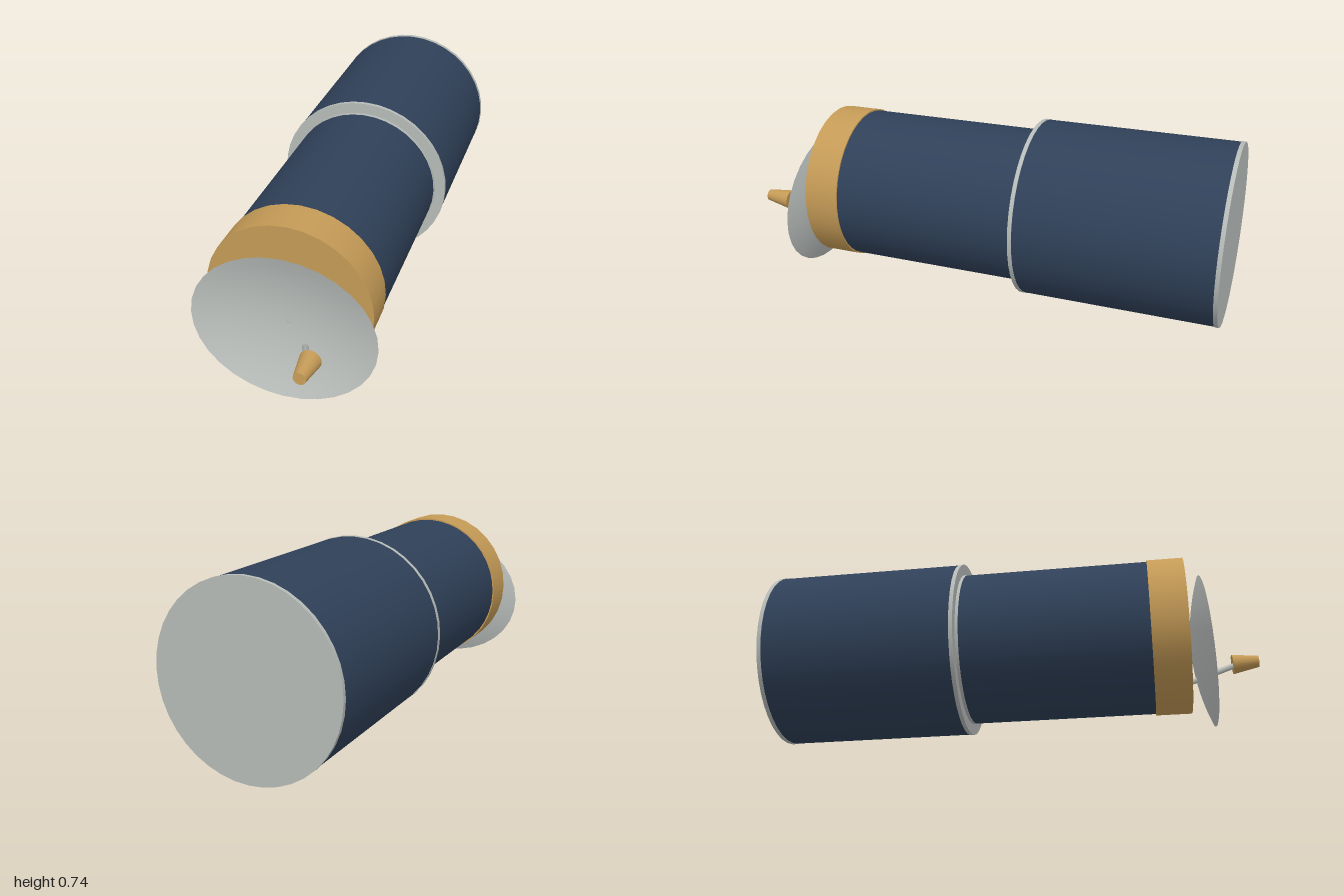
import * as THREE from 'three';

export function createModel() {
  const group = new THREE.Group();
  const navy = new THREE.MeshStandardMaterial({ name: 'navyPanel', color: 0x2f4058 });
  const gold = new THREE.MeshStandardMaterial({ name: 'goldFoil', color: 0xc49a56 });
  const grey = new THREE.MeshStandardMaterial({ name: 'lightGrey', color: 0xb6bbb8 });
  const dishGrey = new THREE.MeshStandardMaterial({ name: 'dishGrey', color: 0xb9bebb, side: THREE.DoubleSide });

  const AXIS_Y = 0.378;
  const TILT = 0.072;

  const add = (name, geometry, material) => {
    const mesh = new THREE.Mesh(geometry, material);
    mesh.name = name;
    group.add(mesh);
    return mesh;
  };

  // Drum lying along z between two depths
  const drum = (name, radius, zBack, zFront, material, sides = 40) => {
    const geometry = new THREE.CylinderGeometry(radius, radius, zFront - zBack, sides);
    geometry.rotateX(Math.PI / 2);
    add(name, geometry, material).position.set(0, AXIS_Y, (zBack + zFront) / 2);
  };

  // Thin rod between two points
  const rod = (name, from, to, radius, sides = 8) => {
    const a = new THREE.Vector3(...from);
    const b = new THREE.Vector3(...to);
    const mesh = add(name, new THREE.CylinderGeometry(radius, radius, a.distanceTo(b), sides), grey);
    mesh.position.copy(a).lerp(b, 0.5);
    mesh.quaternion.setFromUnitVectors(new THREE.Vector3(0, 1, 0), b.sub(a).normalize());
  };

  // Stepped body with end rings
  drum('rearCap', 0.362, -1, -0.984, grey);
  drum('rearBody', 0.36, -0.984, -0.218, navy);
  drum('stepRing', 0.362, -0.218, -0.202, grey);
  drum('collar', 0.317, -0.202, -0.19, grey);
  drum('frontBody', 0.315, -0.19, 0.56, navy);
  drum('frontBand', 0.321, 0.56, 0.705, gold, 32);

  // Shallow elliptical dish, open towards the front
  const depth = 0.058;
  const profile = [];
  for (let i = 0; i <= 10; i++) {
    const t = i / 10;
    profile.push(new THREE.Vector2(0.36 * t, depth * (t * t - 1)));
  }
  const dishGeometry = new THREE.LatheGeometry(profile, 32);
  dishGeometry.rotateX(Math.PI / 2);
  dishGeometry.scale(1, 0.83, 1);
  const dish = add('dish', dishGeometry, dishGrey);
  dish.position.set(0, 0.2995, 0.778);
  dish.rotation.x = -TILT;

  // Dish mount and feed arm
  rod('dishMount', [0, 0.293, 0.69], [0, 0.295, 0.7215], 0.009, 12);
  rod('feedArm', [0.053, 0.188, 0.7], [0.147, 0.295, 0.9], 0.012);

  // Tapered feed horn
  const hornGeometry = new THREE.CylinderGeometry(0.024, 0.041, 0.108, 20);
  hornGeometry.rotateX(Math.PI / 2);
  const horn = add('feedHorn', hornGeometry, gold);
  horn.position.set(0.15, 0.305, 0.945);
  horn.rotation.x = -TILT;

  return group;
}
